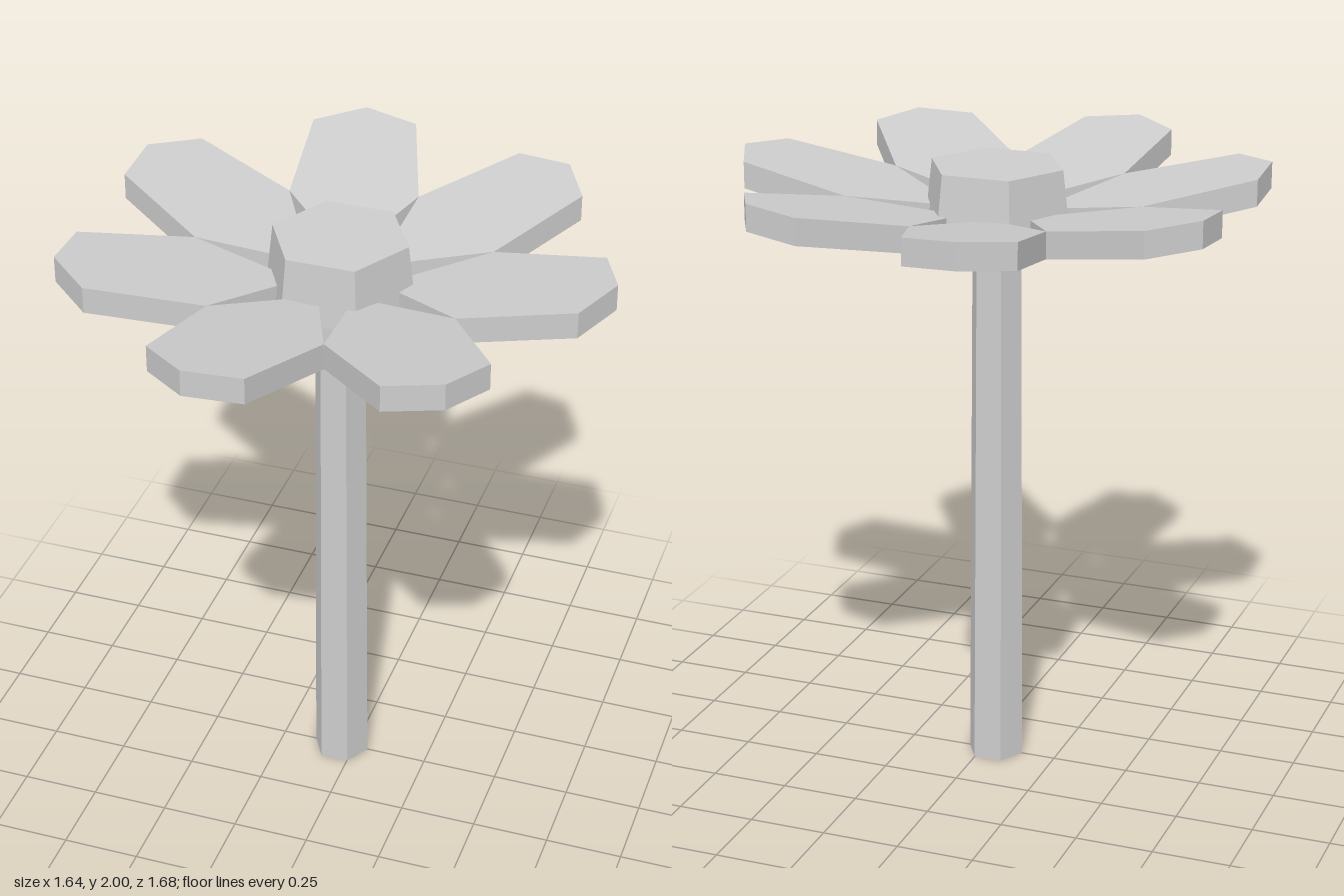
import * as THREE from 'three';

const CENTRE_X = -0.045; // flower axis; odd petal count shifts the bounds
const PETALS = 7;

export function createModel() {
  const grey = new THREE.MeshStandardMaterial({ color: 0xcccccc, flatShading: true });
  grey.name = 'light grey';

  const flower = new THREE.Group();
  flower.name = 'flower';
  flower.position.x = CENTRE_X;

  // Six-sided tapered prism with corners on the x axis
  function hexPrism(name, rTop, rBottom, y0, y1) {
    const geo = new THREE.CylinderGeometry(rTop, rBottom, y1 - y0, 6, 1, false, Math.PI / 2);
    const mesh = new THREE.Mesh(geo, grey);
    mesh.name = name;
    mesh.position.y = (y0 + y1) / 2;
    flower.add(mesh);
  }
  hexPrism('stem', 0.081, 0.0925, 0, 1.82);
  hexPrism('flowerCentre', 0.217, 0.24, 1.8, 2);

  // Petal outline: pointed root, widest mid-way, blunt tip
  const outline = [[0.13, 0], [0.425, -0.2045], [0.785, -0.167], [0.86, 0], [0.785, 0.167], [0.425, 0.2045]];
  const shape = new THREE.Shape(outline.map(([x, y]) => new THREE.Vector2(x, y)));
  const petalGeo = new THREE.ExtrudeGeometry(shape, { depth: 0.085, bevelEnabled: false });
  petalGeo.rotateX(-Math.PI / 2);

  // Shear upward toward the tip, keeping the rim vertical
  const pos = petalGeo.attributes.position;
  for (let i = 0; i < pos.count; i++) {
    pos.setY(i, pos.getY(i) + 1.77 + 0.185 * (pos.getX(i) - 0.13));
  }
  petalGeo.computeVertexNormals();

  const petals = new THREE.Group();
  petals.name = 'petals';
  for (let i = 0; i < PETALS; i++) {
    const petal = new THREE.Mesh(petalGeo, grey);
    petal.name = 'petal' + (i + 1);
    petal.rotation.y = (i * Math.PI * 2) / PETALS;
    petals.add(petal);
  }
  flower.add(petals);

  const model = new THREE.Group();
  model.name = 'flowerModel';
  model.add(flower);
  return model;
}
